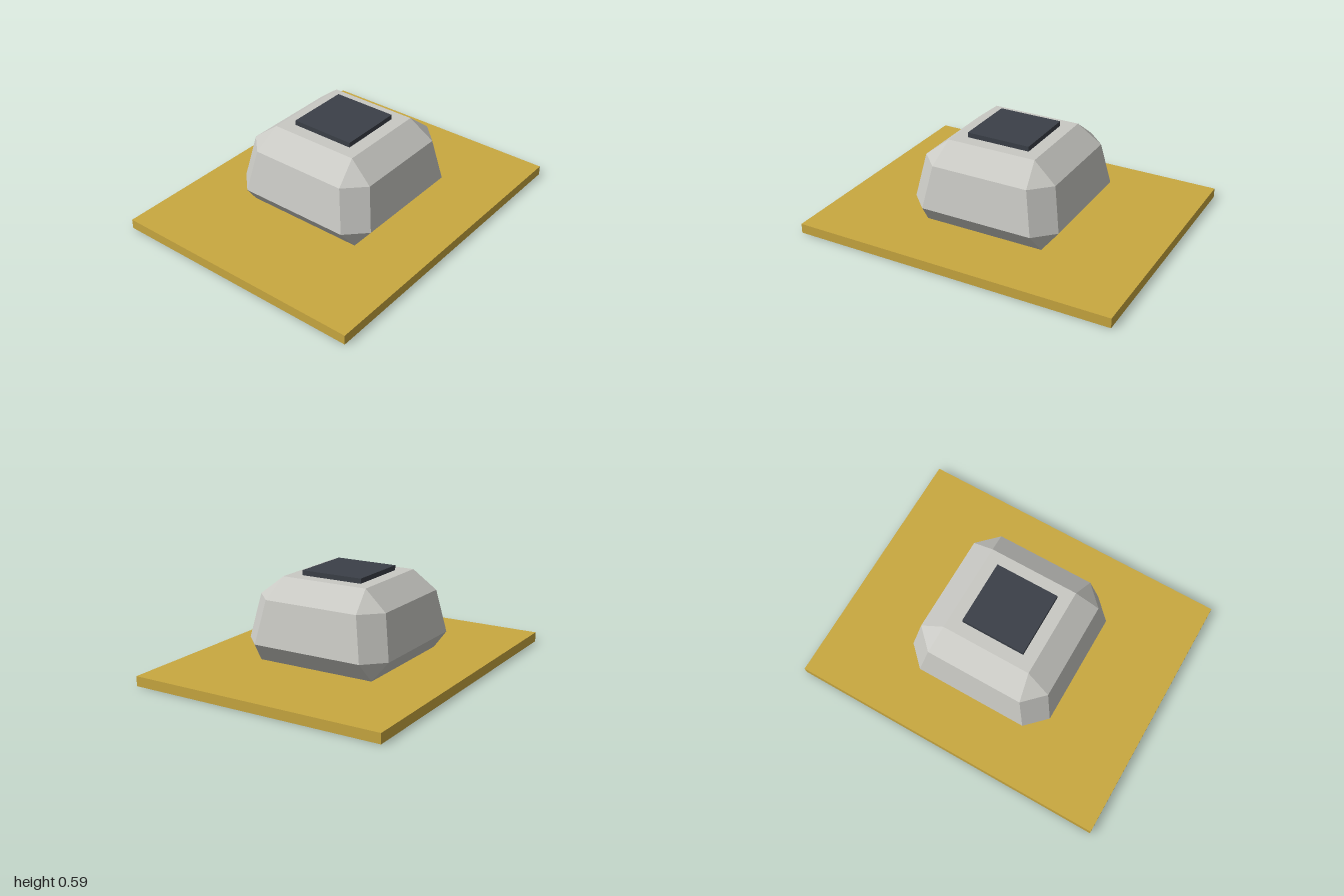
import * as THREE from 'three';

// Octagonal ring, counterclockwise from above: h = half width, k = half length of the straight sides
function ring(y, h, k) {
  return [[-k, h], [k, h], [h, k], [h, -k], [k, -h], [-k, -h], [-h, -k], [-h, k]]
    .map(([x, z]) => new THREE.Vector3(x, y, z));
}

// Skins stacked rings with flat facets and closes both ends
function loft(rings) {
  const pos = [];
  const tri = (a, b, c) => {
    const area = b.clone().sub(a).cross(c.clone().sub(a)).length();
    if (area > 1e-8) for (const p of [a, b, c]) pos.push(p.x, p.y, p.z);
  };
  const n = rings[0].length;
  for (let r = 0; r < rings.length - 1; r++) {
    for (let i = 0; i < n; i++) {
      const j = (i + 1) % n, lo = rings[r], hi = rings[r + 1];
      tri(lo[i], lo[j], hi[j]);
      tri(lo[i], hi[j], hi[i]);
    }
  }
  const bottom = rings[0], top = rings[rings.length - 1];
  for (let i = 1; i < n - 1; i++) {
    tri(top[0], top[i], top[i + 1]);
    tri(bottom[0], bottom[i + 1], bottom[i]);
  }
  const geo = new THREE.BufferGeometry();
  geo.setAttribute('position', new THREE.Float32BufferAttribute(pos, 3));
  geo.computeVertexNormals();
  return geo;
}

export function createModel() {
  const material = (name, color) => {
    const m = new THREE.MeshStandardMaterial({ color, flatShading: true });
    m.name = name;
    return m;
  };
  const gold = material('gold', 0xc9a840);
  const paleGrey = material('pale grey', 0xc9c9c4);
  const charcoal = material('charcoal', 0x3b4048);

  const group = new THREE.Group();
  const add = (name, geo, mat, y = 0) => {
    const mesh = new THREE.Mesh(geo, mat);
    mesh.name = name;
    mesh.position.y = y;
    group.add(mesh);
  };

  // Flat base
  add('basePlate', new THREE.BoxGeometry(2, 0.06, 1.6), gold, 0.03);

  // Faceted body: square ends, chamfered corners between
  add('body', loft([
    ring(0.06, 0.38, 0.38),
    ring(0.18, 0.475, 0.355),
    ring(0.445, 0.425, 0.305),
    ring(0.56, 0.28, 0.28),
  ]), paleGrey);

  // Square pad on top
  add('topPad', new THREE.BoxGeometry(0.4, 0.03, 0.4), charcoal, 0.575);

  return group;
}
